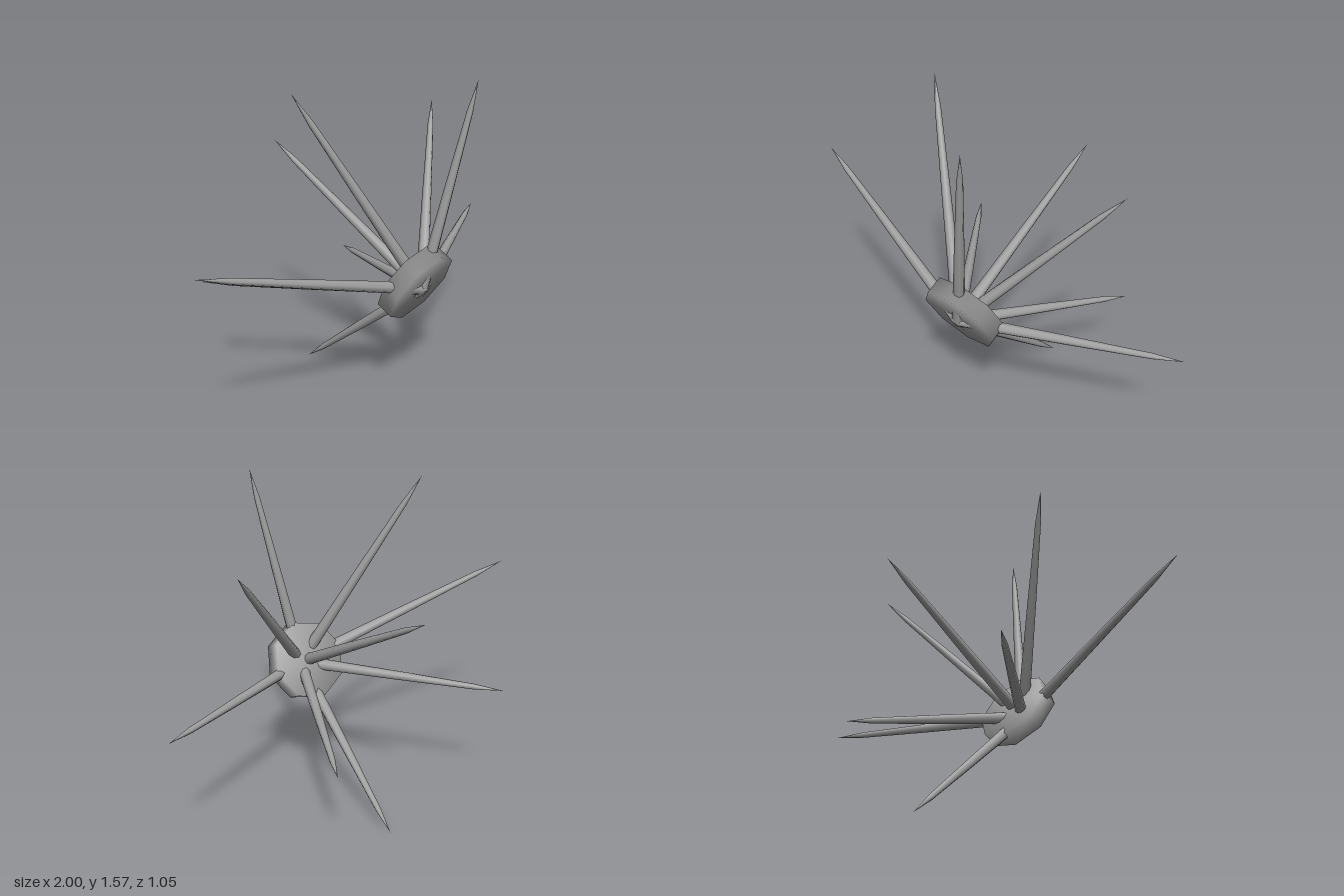
import * as THREE from 'three';
import { mergeVertices } from 'three/addons/utils/BufferGeometryUtils.js';

const grey = new THREE.MeshStandardMaterial({ color: 0xa0a0a0 });
grey.name = 'grey';

// All spikes start in the middle of the hub's front face
const root = new THREE.Vector3(0.08, 0.62, 0.39);
const tilt = THREE.MathUtils.degToRad(117);

const spikeTips = [
  [-1, 0.98, 0.125],
  [-0.36, 1.545, 0.03],
  [0.24, 1.57, 0.525],
  [0.645, 1.29, -0.01],
  [0.08, 1.115, -0.52],
  [1, 0.645, 0.01],
  [-0.5, 0.6, -0.42],
  [0.44, 0.47, -0.4],
  [0.08, 0, -0.315],
];

// Tilted eight-sided disc with soft shading across its edges
function makeHub() {
  const depth = 0.086;
  let geometry = new THREE.CylinderGeometry(0.19, 0.19, depth, 8, 1, false, THREE.MathUtils.degToRad(37));
  geometry.deleteAttribute('normal');
  geometry.deleteAttribute('uv');
  geometry = mergeVertices(geometry);
  geometry.computeVertexNormals();
  const hub = new THREE.Mesh(geometry, grey);
  hub.name = 'hub';
  hub.rotation.x = tilt;
  const normal = new THREE.Vector3(0, Math.cos(tilt), Math.sin(tilt));
  hub.position.copy(root).addScaledVector(normal, -depth / 2);
  return hub;
}

// Slender shaft that narrows gently, then closes to a point
function makeSpike(tip) {
  const direction = new THREE.Vector3(...tip).sub(root);
  const length = direction.length();
  const profile = [[0, 0], [0.029, 0], [0.021, 0.5], [0.0135, 0.86], [0, 1]]
    .map(([r, t]) => new THREE.Vector2(r, t * length));
  const spike = new THREE.Mesh(new THREE.LatheGeometry(profile, 8), grey);
  spike.name = 'spike';
  spike.position.copy(root);
  spike.quaternion.setFromUnitVectors(new THREE.Vector3(0, 1, 0), direction.normalize());
  return spike;
}

export function createModel() {
  const model = new THREE.Group();
  model.name = 'spikedDisc';
  model.add(makeHub());
  for (const tip of spikeTips) model.add(makeSpike(tip));
  return model;
}
